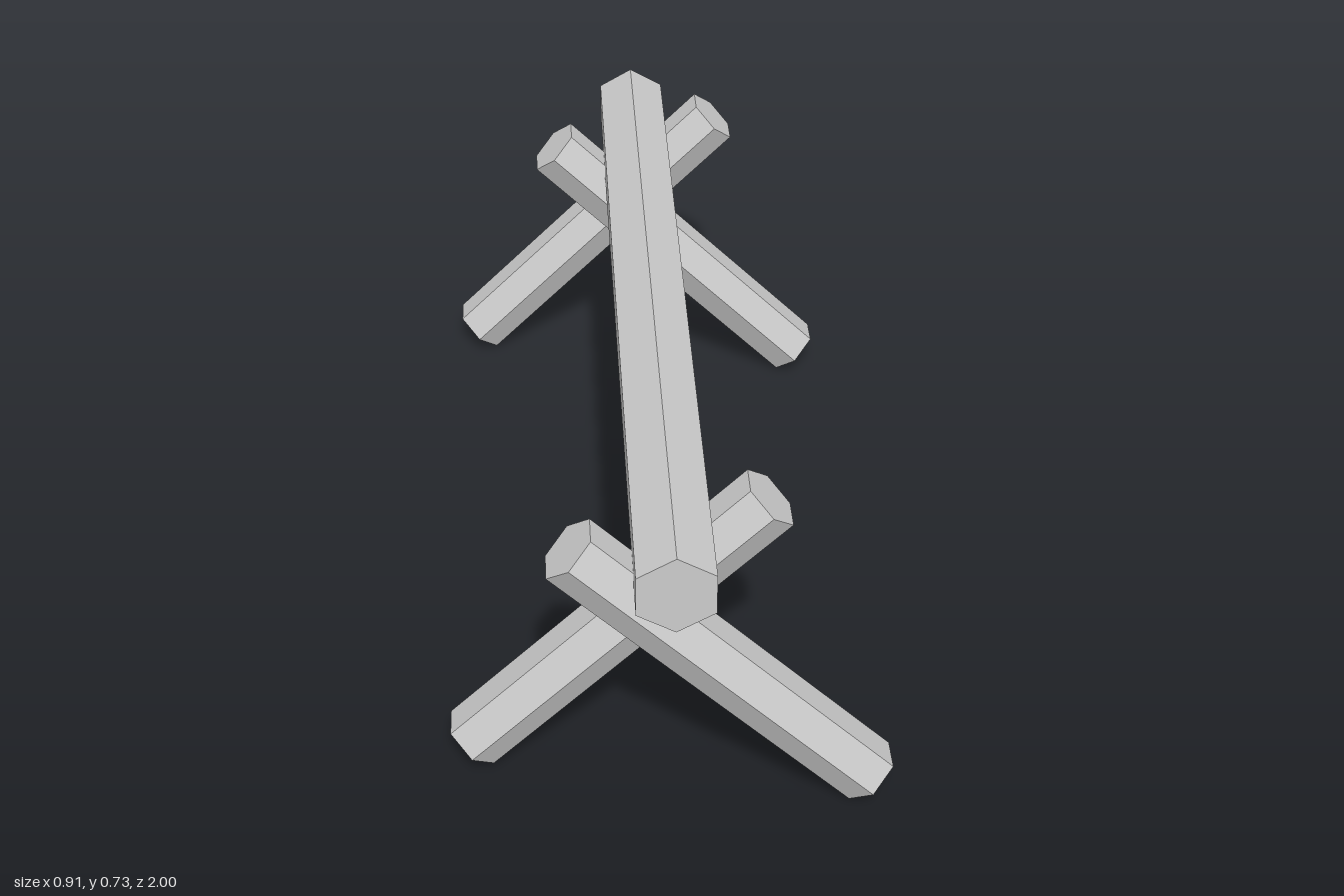
import * as THREE from 'three';

export function createModel() {
  const model = new THREE.Group();
  const material = new THREE.MeshStandardMaterial({ color: 0xcccccc, flatShading: true });

  // Six-sided log along y, with corners pointing to +z and -z
  const log = (name, radius, length) => {
    const mesh = new THREE.Mesh(new THREE.CylinderGeometry(radius, radius, length, 6), material);
    mesh.name = name;
    model.add(mesh);
    return mesh;
  };

  // Horizontal beam with a corner on top
  const beam = log('beam', 0.0895, 2);
  beam.rotation.x = Math.PI / 2;
  beam.position.y = 0.6425;

  // Two crossed pairs of legs, the legs lying side by side
  for (const [end, z] of [['front', 0.8], ['back', -0.8]]) {
    for (const [side, s] of [['Left', 1], ['Right', -1]]) {
      const leg = log(`${end}${side}Leg`, 0.0715, 0.871);
      leg.rotation.z = s * Math.PI / 4;
      leg.position.set(s * 0.1055, 0.354, z + s * 0.0715);
    }
  }

  return model;
}
